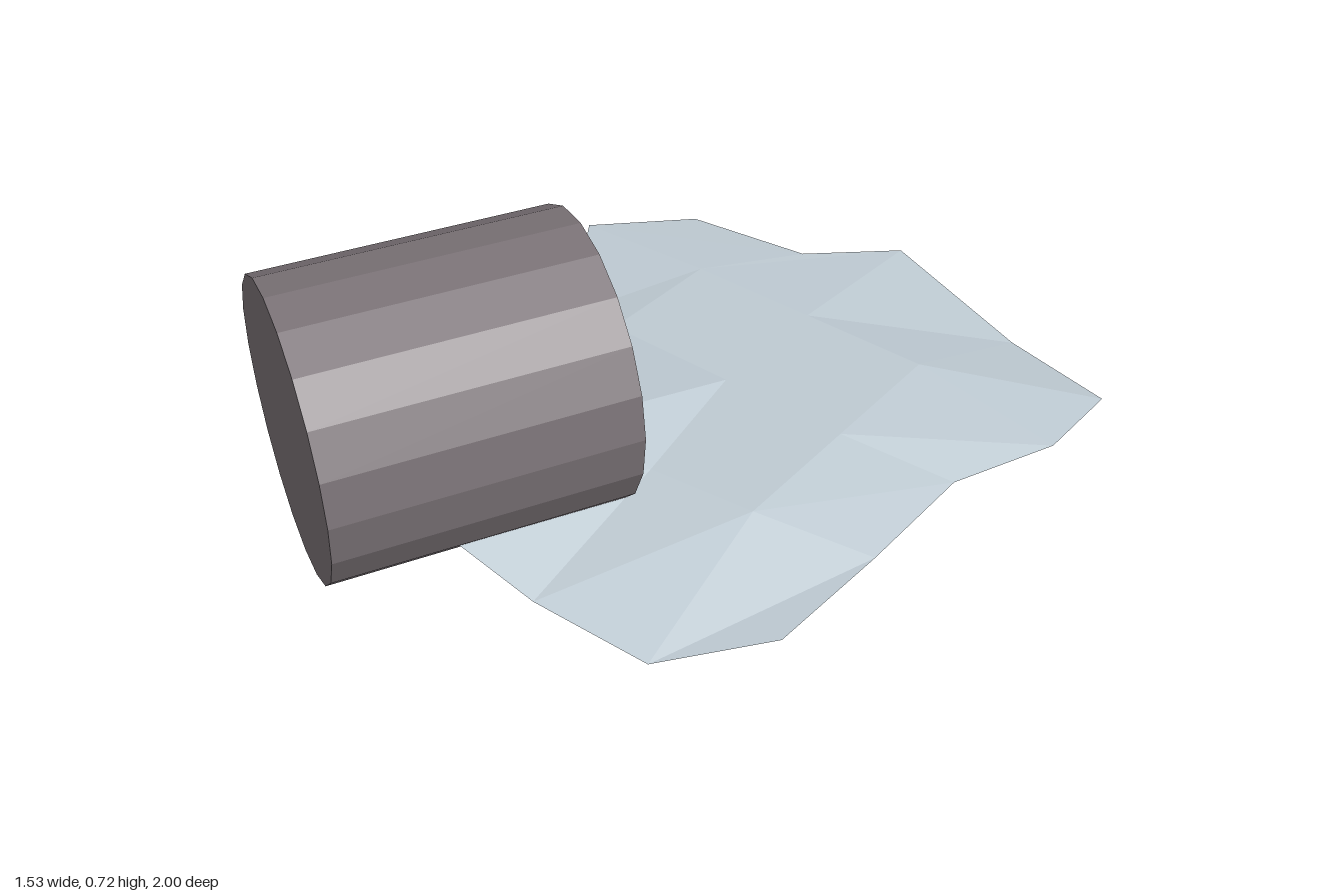
import * as THREE from 'three';

const cupMaterial = new THREE.MeshStandardMaterial({ color: 0x7a7276, flatShading: true });
cupMaterial.name = 'warm grey';
const sheetMaterial = new THREE.MeshStandardMaterial({ color: 0xbecad2, flatShading: true, side: THREE.DoubleSide });
sheetMaterial.name = 'pale blue';

// Hollow can lying on its side: inner floor, inner wall, rim, outer wall, closed base
function createCan() {
  const r = 0.358, h = 0.358, t = 0.02;
  const profile = [
    [0, h - t], [r - t, h - t], [r - t, -h], [r, -h], [r, h], [0, h],
  ].map(([x, y]) => new THREE.Vector2(x, y));
  const geometry = new THREE.LatheGeometry(profile, 20);
  geometry.rotateX(Math.PI / 2);
  const can = new THREE.Mesh(geometry, cupMaterial);
  can.name = 'can';
  can.position.set(-0.29, r, 0.517);
  can.rotation.y = -0.479;
  return can;
}

// Crumpled spill: a 5 x 5 grid of points, rows running from back to front
function createSpill() {
  const rows = [
    [[-0.55, 0.08, -0.77], [-0.19, 0.09, -0.8], [0.01, 0.08, -1], [0.45, 0.03, -0.87], [0.76, 0.045, -0.78]],
    [[-0.76, 0.09, -0.54], [-0.36, 0.1, -0.55], [0, 0.1, -0.55], [0.35, 0.1, -0.55], [0.755, 0.05, -0.53]],
    [[-0.52, 0.08, -0.18], [-0.37, 0.1, -0.19], [0, 0.1, -0.19], [0.35, 0.1, -0.19], [0.63, 0.04, -0.27]],
    [[-0.515, 0.11, 0.08], [-0.09, 0.15, 0.1], [0.07, 0.1, 0.2], [0.35, 0.1, 0.17], [0.62, 0.03, 0.06]],
    [[-0.42, 0.17, 0.4], [-0.2, 0.19, 0.72], [0.12, 0.06, 0.675], [0.41, 0.015, 0.63], [0.6, 0.025, 0.4]],
  ];
  const geometry = new THREE.PlaneGeometry(1, 1, 4, 4);
  const position = geometry.attributes.position;
  rows.flat().forEach((p, i) => position.setXYZ(i, ...p));
  geometry.computeVertexNormals();
  const spill = new THREE.Mesh(geometry, sheetMaterial);
  spill.name = 'spill';
  return spill;
}

export function createModel() {
  const model = new THREE.Group();
  model.name = 'spilledCan';
  model.add(createCan(), createSpill());
  return model;
}
